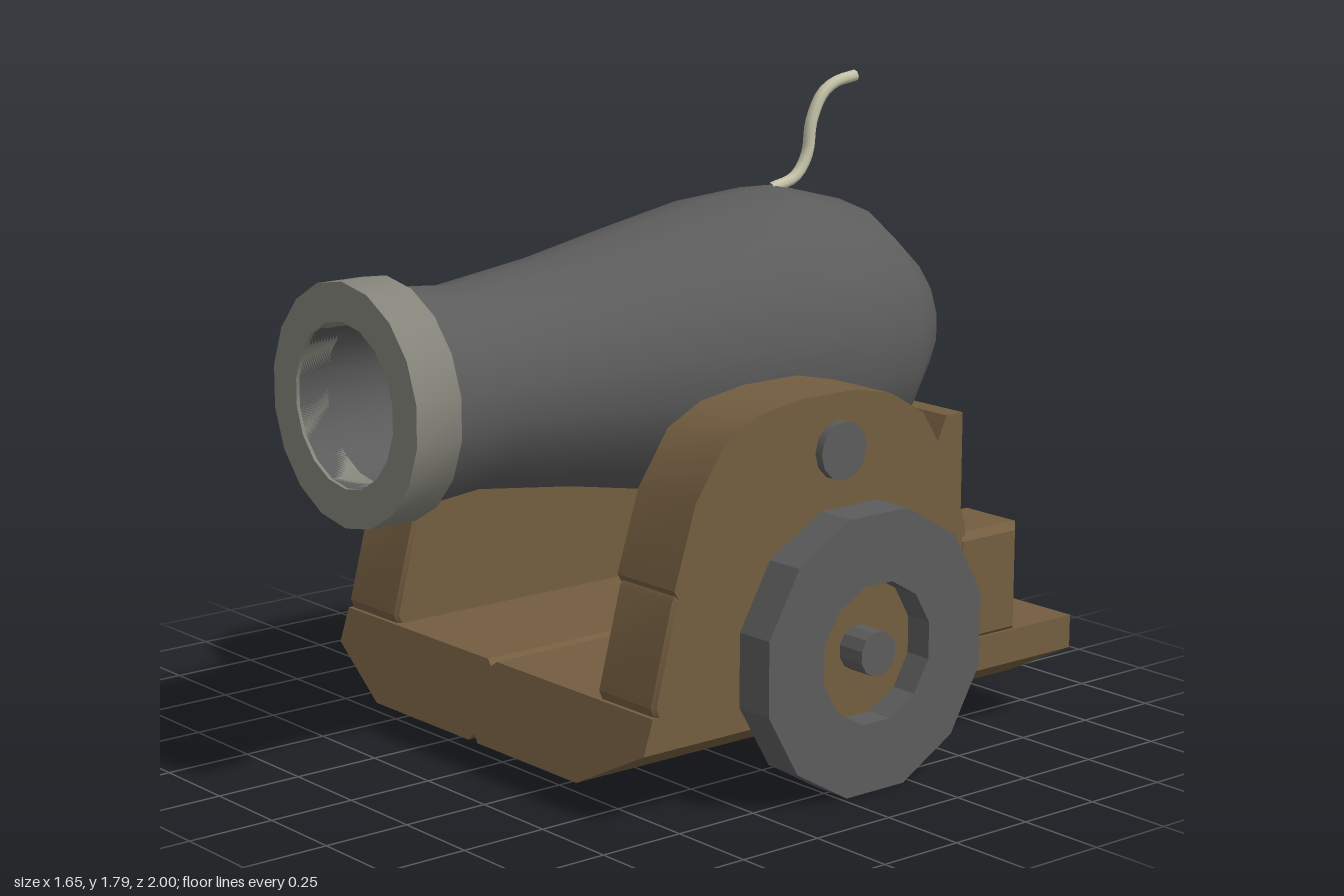
import * as THREE from 'three';
import { toCreasedNormals } from 'three/addons/utils/BufferGeometryUtils.js';

const material = (name, color, side = THREE.FrontSide) => {
  const m = new THREE.MeshStandardMaterial({ color, side });
  m.name = name;
  return m;
};

const vectors = (list) => list.map(([a, b]) => new THREE.Vector2(a, b));

export function createModel() {
  const model = new THREE.Group();
  model.name = 'cannon';
  const iron = material('darkIron', 0x5c5c5c);
  const steel = material('paleSteel', 0x84847a);
  const wood = material('wood', 0x735d40);
  const cord = material('fuseCord', 0xc6c4aa);

  const add = (name, geometry, mat, parent = model) => {
    const mesh = new THREE.Mesh(geometry, mat);
    mesh.name = name;
    parent.add(mesh);
    return mesh;
  };

  // Side profile given as (z, y), extruded along x from x0 to x1
  const sideExtrude = (profile, x0, x1, bevel = 0) => {
    const shape = new THREE.Shape(vectors(profile.map(([z, y]) => [-z, y])));
    const g = new THREE.ExtrudeGeometry(shape, {
      depth: x1 - x0 - 2 * bevel, bevelEnabled: bevel > 0, bevelSegments: 1,
      bevelSize: bevel, bevelThickness: bevel, bevelOffset: -bevel,
    });
    g.rotateY(Math.PI / 2);
    g.translate(x0 + bevel, 0, 0);
    return toCreasedNormals(g, 0.55);
  };

  // Barrel parts: profile of (radius, z) turned about the z axis
  const axisY = 1.065;
  const turnedZ = (profile, crease) => {
    let g = new THREE.LatheGeometry(vectors(profile), 18);
    g.rotateX(Math.PI / 2);
    g.translate(0, axisY, 0);
    if (crease) g = toCreasedNormals(g, crease);
    return g;
  };
  add('barrel', turnedZ([
    [0, -1], [0.045, -1], [0.215, -0.91], [0.365, -0.72], [0.43, -0.47], [0.415, -0.23],
    [0.365, 0.06], [0.315, 0.33], [0.275, 0.64], [0.295, 0.87],
  ]), iron);
  add('bore', turnedZ([[0.22, 0.99], [0.22, 0.3], [0, 0.3]], 0.6), iron);
  add('muzzleRing', turnedZ([
    [0.22, 0.86], [0.325, 0.86], [0.325, 1], [0.22, 1], [0.22, 0.9],
  ], 0.6), steel);

  // Curled fuse
  const fusePath = new THREE.CatmullRomCurve3([
    [1.485, -0.46], [1.51, -0.55], [1.57, -0.595], [1.66, -0.61], [1.735, -0.65], [1.765, -0.7], [1.778, -0.775],
  ].map(([y, z]) => new THREE.Vector3(0, y, z)));
  add('fuse', new THREE.TubeGeometry(fusePath, 20, 0.017, 8), cord);
  const fuseTip = add('fuseTip', new THREE.CircleGeometry(0.017, 8), cord);
  fuseTip.position.copy(fusePath.getPoint(1));
  fuseTip.lookAt(fusePath.getPoint(1).add(fusePath.getTangent(1)));

  // Trunnion through both cheeks
  const trunnion = new THREE.CylinderGeometry(0.08, 0.08, 1.41, 12);
  trunnion.rotateZ(Math.PI / 2);
  add('trunnion', trunnion, iron).position.set(0, 0.91, -0.1);

  // Bed with chamfered undersides, a centre seam and a sloping front
  const half = [[0.02, 0.08], [0.45, 0.08], [0.68, 0.2], [0.68, 0.295], [0.44, 0.295], [0.02, 0.295]];
  const outline = [
    [0, 0.1], ...half, [0, 0.28],
    ...half.slice().reverse().map(([x, y]) => [-x, y]),
  ];
  const bed = new THREE.ExtrudeGeometry(new THREE.Shape(vectors(outline)), { depth: 1.6, bevelEnabled: false });
  bed.translate(0, 0, -1);
  const pos = bed.attributes.position;
  for (let i = 0; i < pos.count; i++) {
    if (pos.getZ(i) > 0) pos.setZ(i, 0.6 - (pos.getY(i) - 0.08) * 0.32);
  }
  bed.computeVertexNormals();
  add('bed', bed, wood);

  // Wedge block behind the breech
  add('rearWedge', sideExtrude([
    [-0.79, 0.28], [-0.79, 0.53], [-0.92, 0.81], [-0.985, 0.81], [-0.985, 0.28],
  ], -0.25, 0.25), wood);

  const lowerCheek = [[0.515, 0.285], [0.53, 0.32], [0.46, 0.59], [0.45, 0.605], [-0.575, 0.605], [-0.575, 0.285]];
  const upperCheek = [
    [0.445, 0.595], [0.46, 0.62], [0.39, 0.84], [0.29, 0.985], [0.18, 1.04], [0.03, 1.063],
    [-0.16, 1.063], [-0.29, 1.035], [-0.41, 0.965], [-0.5, 0.825], [-0.575, 0.63], [-0.575, 0.595],
  ];
  const rearStep = [[-0.55, 0.285], [-0.55, 0.6], [-0.79, 0.6], [-0.79, 0.285]];

  // Wheel parts: profile of (radius, x) turned about the x axis with flats down
  const turnedX = (profile) => {
    const g = new THREE.LatheGeometry(vectors(profile), 12, Math.PI / 12);
    g.rotateZ(-Math.PI / 2);
    return toCreasedNormals(g, 0.3);
  };

  for (const side of [1, -1]) {
    const label = side > 0 ? 'left' : 'right';
    const [x0, x1] = side > 0 ? [0.45, 0.68] : [-0.68, -0.45];
    add(label + 'LowerCheek', sideExtrude(lowerCheek, x0, x1, 0.01), wood);
    add(label + 'UpperCheek', sideExtrude(upperCheek, x0, x1), wood);
    add(label + 'RearStep', sideExtrude(rearStep, x0, x1, 0.02), wood);

    const wheel = new THREE.Group();
    wheel.name = label + 'Wheel';
    wheel.position.set(0, 0.38, -0.12);
    if (side < 0) wheel.rotation.y = Math.PI;
    add('wheelRim', turnedX([[0.393, 0.705], [0.393, 0.82], [0.195, 0.82], [0.195, 0.705]]), iron, wheel);
    add('wheelInnerFace', turnedX([[0.195, 0.705], [0.393, 0.705]]), steel, wheel);
    add('wheelHub', turnedX([[0, 0.67], [0.195, 0.67], [0.195, 0.74], [0, 0.74]]), wood, wheel);
    add('axleEnd', turnedX([[0.062, 0.66], [0.062, 0.825], [0, 0.825]]), iron, wheel);
    model.add(wheel);
  }
  return model;
}
